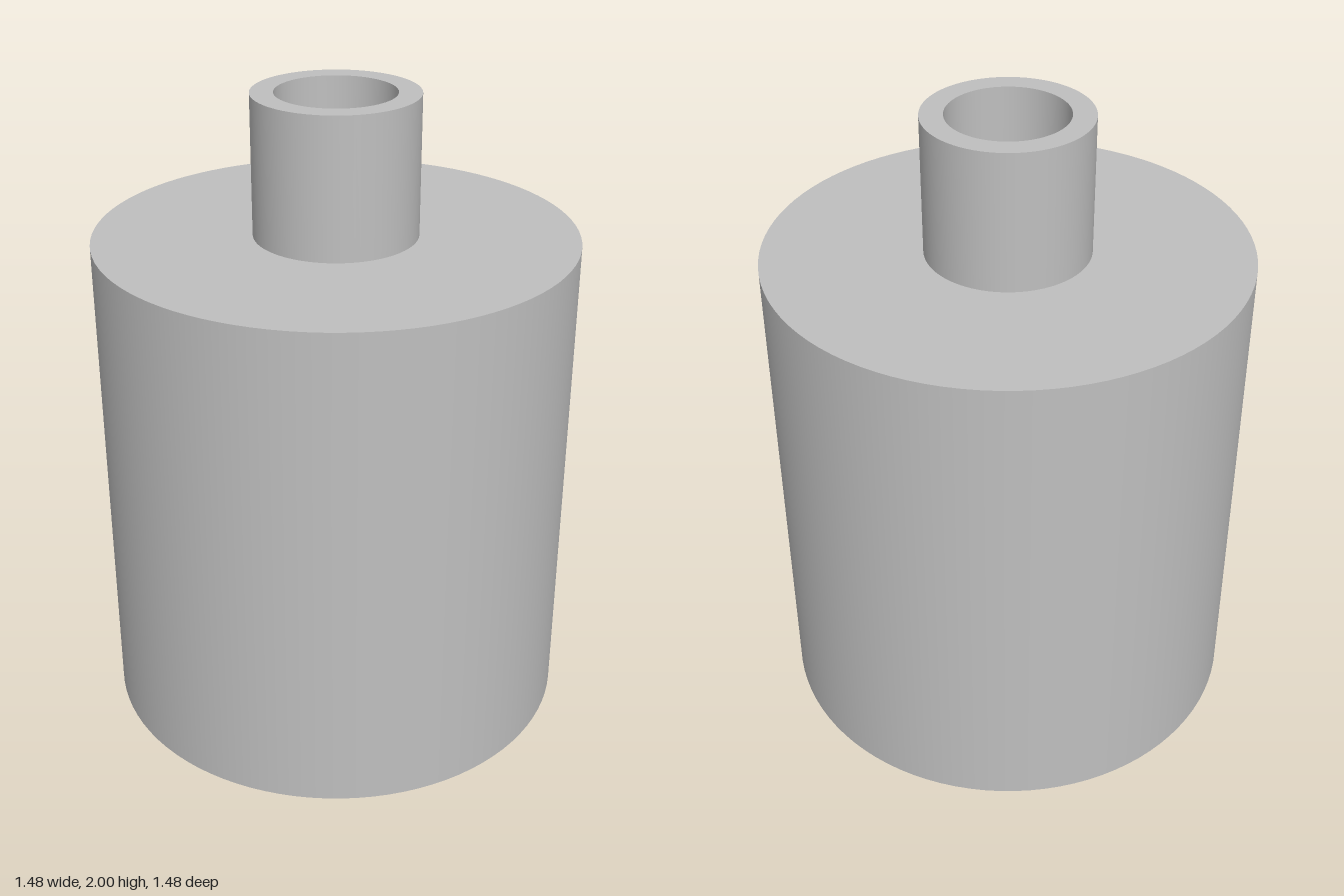
import * as THREE from 'three';
import { mergeGeometries } from 'three/addons/utils/BufferGeometryUtils.js';

const SEGMENTS = 96;

// Revolve each straight run of the profile on its own so corners stay sharp
// and the walls stay smooth.
function revolve(profile) {
  const runs = [];
  for (let i = 0; i < profile.length - 1; i++) {
    const ends = [profile[i], profile[i + 1]].map(([r, y]) => new THREE.Vector2(r, y));
    runs.push(new THREE.LatheGeometry(ends, SEGMENTS));
  }
  return mergeGeometries(runs);
}

export function createModel() {
  const group = new THREE.Group();
  group.name = 'neckedSleeve';

  const grey = new THREE.MeshStandardMaterial({ color: 0xbfbfbf });
  grey.name = 'plain grey';

  const bodyR = 0.74, cavityR = 0.652, neckR = 0.253, boreR = 0.183;
  const ceilingY = 1.48, shoulderY = 1.565, topY = 2;

  const parts = {
    // Open-bottomed cup: ceiling, cavity wall, base rim, outer wall, shoulder
    body: [[boreR, ceilingY], [cavityR, ceilingY], [cavityR, 0], [bodyR, 0],
      [bodyR, shoulderY], [neckR, shoulderY]].map((p) => p),
    // Tubular neck with a bore running through the ceiling
    neck: [[neckR, shoulderY], [neckR, topY], [boreR, topY], [boreR, ceilingY]],
  };

  // The ceiling faces down, so its run goes outward like the base rim
  for (const [name, profile] of Object.entries(parts)) {
    const mesh = new THREE.Mesh(revolve(profile), grey);
    mesh.name = name;
    group.add(mesh);
  }
  return group;
}
